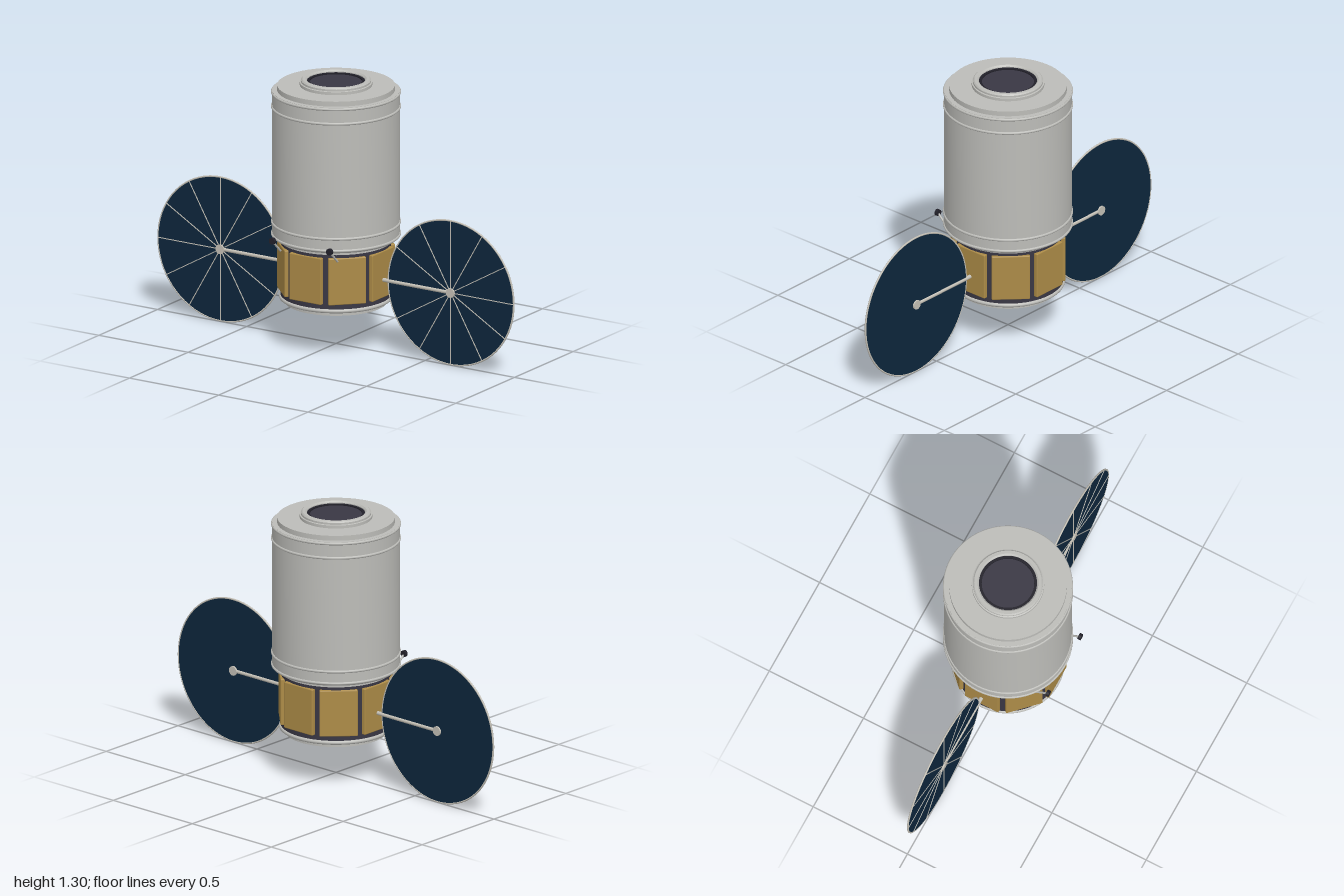
import * as THREE from 'three';
import { toCreasedNormals } from 'three/addons/utils/BufferGeometryUtils.js';
import { RoundedBoxGeometry } from 'three/addons/geometries/RoundedBoxGeometry.js';

const material = (name, color, side = THREE.FrontSide) => {
  const m = new THREE.MeshStandardMaterial({ color, side });
  m.name = name;
  return m;
};

export function createModel() {
  const root = new THREE.Group();
  root.name = 'spacecraft';
  const hull = material('hull grey', 0xbcbcb8);
  const trim = material('light trim', 0xc4c0b6);
  const dark = material('dark frame', 0x393744);
  const black = material('black fittings', 0x22212a);
  const gold = material('gold foil', 0xac8b47);
  const navy = material('solar navy', 0x0d263c);

  const add = (name, geometry, mat, parent = root, x = 0, y = 0, z = 0) => {
    const mesh = new THREE.Mesh(geometry, mat);
    mesh.name = name;
    mesh.position.set(x, y, z);
    parent.add(mesh);
    return mesh;
  };
  // Profile points are [radius, height], bottom to top
  const lathe = (points) => toCreasedNormals(
    new THREE.LatheGeometry(points.map(([r, y]) => new THREE.Vector2(r, y)), 64), 0.6);
  const ring = (name, radius, tube, y) =>
    add(name, new THREE.TorusGeometry(radius, tube, 10, 64), hull, root, 0, y, 0).rotateX(Math.PI / 2);
  // Round bar between two points
  const bar = (name, a, b, radius, mat, parent) => {
    const dir = b.clone().sub(a);
    const mesh = add(name, new THREE.CylinderGeometry(radius, radius, dir.length(), 14), mat, parent);
    mesh.position.copy(a).add(b).multiplyScalar(0.5);
    mesh.quaternion.setFromUnitVectors(new THREE.Vector3(0, 1, 0), dir.normalize());
    return mesh;
  };

  // Main pressure hull with stepped top and open docking collar
  add('mainHull', lathe([
    [0, 0.512], [0.265, 0.512], [0.265, 0.53], [0.293, 0.53], [0.299, 0.538], [0.299, 1.242],
    [0.276, 1.242], [0.276, 1.266], [0.17, 1.266], [0.17, 1.28], [0.164, 1.282], [0.164, 1.291],
    [0.158, 1.297], [0.143, 1.297], [0.136, 1.29], [0.136, 1.268],
  ]), hull);
  for (const y of [0.542, 0.6, 1.163, 1.234]) ring('hullRing', 0.298, 0.007, y);

  // Dark hatch set inside the collar
  add('hatchRim', lathe([[0.136, 1.27], [0.136, 1.286], [0.123, 1.286], [0.123, 1.276]]), black);
  add('hatch', lathe([[0.125, 1.266], [0.125, 1.28], [0, 1.28]]), dark);

  // Service section with flat foil panels
  add('serviceFrame', lathe([[0, 0.23], [0.26, 0.23], [0.26, 0.512], [0, 0.512]]), dark);
  for (let i = 0; i < 8; i++) {
    const a = i * Math.PI / 4;
    const panel = add('foilPanel', new RoundedBoxGeometry(0.18, 0.228, 0.022, 2, 0.005), gold, root,
      Math.sin(a) * 0.254, 0.382, Math.cos(a) * 0.254);
    panel.rotation.y = a;
  }

  // Base ring, plate and bolts
  ring('baseRing', 0.258, 0.01, 0.236);
  add('basePlate', lathe([[0, 0.208], [0.24, 0.208], [0.24, 0.236], [0.258, 0.236]]), hull);
  for (let i = 0; i < 8; i++) {
    const a = i * Math.PI / 4;
    add('baseBolt', new THREE.CylinderGeometry(0.011, 0.011, 0.008, 12), black, root,
      Math.sin(a) * 0.21, 0.206, Math.cos(a) * 0.21);
  }

  for (const s of [-1, 1]) {
    // Front sensor on a slanted strut
    const sensor = new THREE.Group();
    sensor.name = s > 0 ? 'leftSensor' : 'rightSensor';
    root.add(sensor);
    bar('sensorStrut', new THREE.Vector3(s * 0.16, 0.485, 0.23), new THREE.Vector3(s * 0.16, 0.545, 0.294),
      0.005, hull, sensor);
    add('sensorHead', new THREE.CylinderGeometry(0.016, 0.016, 0.015, 20), black, sensor,
      s * 0.16, 0.55, 0.298).rotateX(Math.PI / 2);

    // Round solar array
    const array = new THREE.Group();
    array.name = s > 0 ? 'leftSolarArray' : 'rightSolarArray';
    array.position.set(s * 0.645, 0.356, 0);
    root.add(array);
    add('solarDisc', new THREE.CylinderGeometry(0.35, 0.35, 0.006, 72), navy, array).rotateX(Math.PI / 2);
    add('solarRim', new THREE.TorusGeometry(0.351, 0.0045, 8, 72), trim, array);
    for (let i = 0; i < 12; i++) {
      const a = i * Math.PI / 6;
      const spoke = add('solarSpoke', new THREE.BoxGeometry(0.35, 0.004, 0.003), trim, array,
        Math.cos(a) * 0.175, Math.sin(a) * 0.175, 0.004);
      spoke.rotation.z = a;
    }
    add('solarHub', new THREE.CylinderGeometry(0.023, 0.023, 0.022, 24), trim, array).rotateX(Math.PI / 2);
    bar('solarArm', new THREE.Vector3(-s * 0.4, 0, 0), new THREE.Vector3(0, 0, 0), 0.0095, trim, array);
  }
  return root;
}
